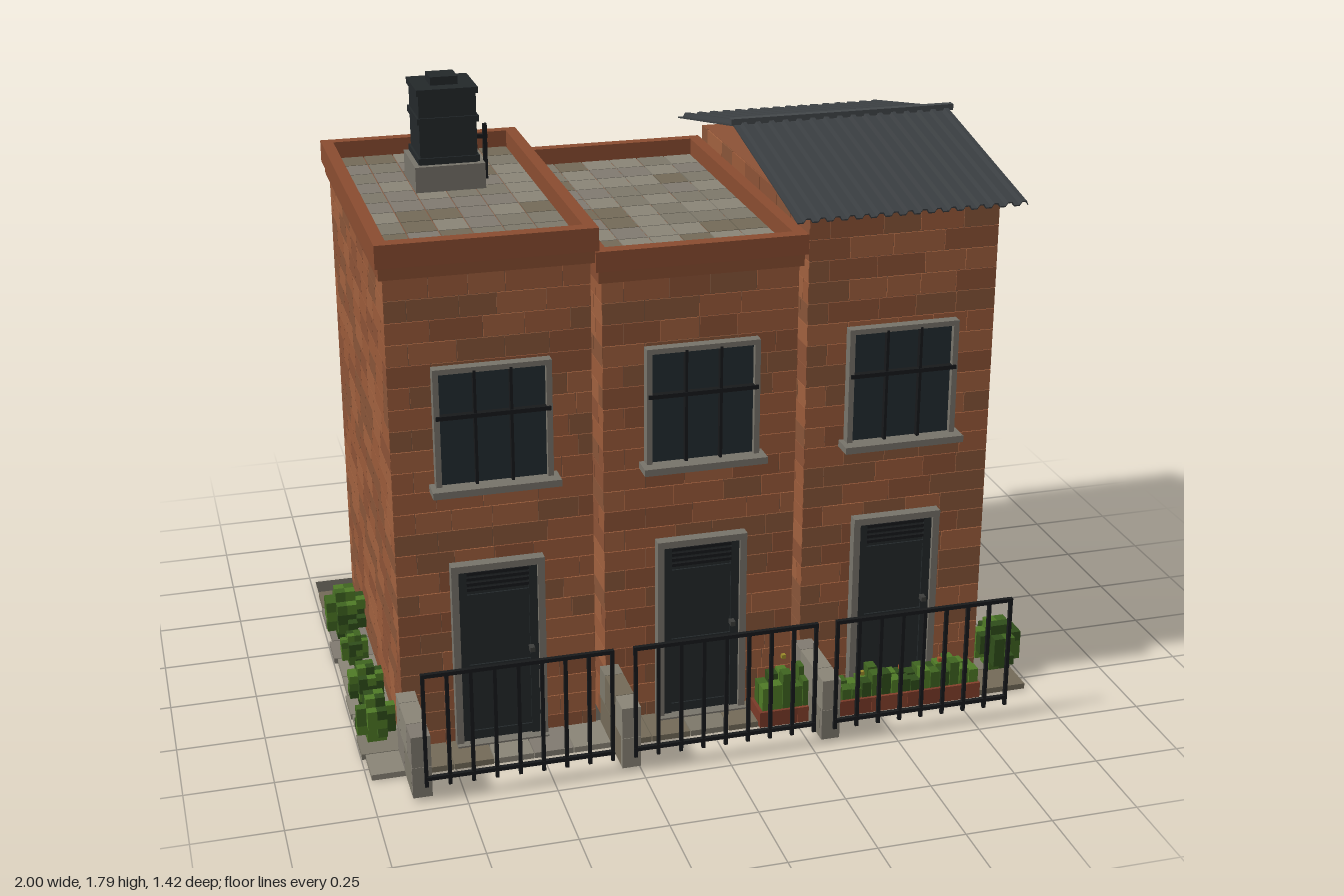
import * as THREE from 'three';
import { mergeGeometries } from 'three/addons/utils/BufferGeometryUtils.js';

const BRICK = [0x9a5a3a, 0x8c5236, 0xa0603e, 0x885538];
const STONE = [0x7d786a, 0x8a8577, 0x736a58, 0x807a70];
const LEAF = [0x3f6420, 0x4f7a26, 0x2f4d1a];
const IRON = 0x17191b, DOOR = 0x23282a, GLASS = 0x222c30, TRIM = 0x77736a;
const FRONT = 0.445, BACK = -0.6, WIDTH = 0.56, DEPTH = FRONT - BACK, MID = (FRONT + BACK) / 2;

let seed = 7;
const rand = () => (seed = (seed * 16807) % 2147483647) / 2147483647;
const pick = (list) => list[Math.floor(rand() * list.length)];

// Box given by its minimum and maximum on each axis
function box(x0, x1, y0, y1, z0, z1) {
  return new THREE.BoxGeometry(x1 - x0, y1 - y0, z1 - z0)
    .translate((x0 + x1) / 2, (y0 + y1) / 2, (z0 + z1) / 2);
}

// Collects pieces and builds one mesh per colour
function part(name, fill) {
  const byColor = new Map();
  fill((color, ...b) => {
    if (!byColor.has(color)) byColor.set(color, []);
    byColor.get(color).push(b.length === 1 ? b[0] : box(...b));
  });
  const group = new THREE.Group();
  group.name = name;
  for (const [color, geos] of byColor) {
    const mesh = new THREE.Mesh(mergeGeometries(geos), new THREE.MeshStandardMaterial({ color }));
    mesh.name = name + 'Piece';
    group.add(mesh);
  }
  return group;
}

// Brick body: a mortar core faced with bonded courses on four sides
function brickBody(cx, top) {
  return part('brickWalls', (add) => {
    const e = 0.004, hw = WIDTH / 2;
    add(0x6e5240, cx - hw + e, cx + hw - e, 0.003, top - 0.002, BACK + e, FRONT - e);
    add(BRICK[1], cx - hw + e, cx + hw - e, top - 0.004, top, BACK + e, FRONT - e);
    const rows = Math.round(top / 0.063), h = top / rows, g = 0.001;
    for (const side of [0, 1, 2, 3]) {
      const len = side < 2 ? WIDTH : DEPTH;
      for (let r = 0; r < rows; r++) {
        let u = 0, next = r % 2 ? 0.06 : 0.12;
        while (u < len - 0.001) {
          if (len - next < 0.04) next = len;
          const a = u + g, b = next - g, y0 = Math.max(r * h + g, 0.004), y1 = (r + 1) * h - g;
          const c = pick(BRICK);
          if (side === 0) add(c, cx - hw + a, cx - hw + b, y0, y1, FRONT - e, FRONT);
          if (side === 1) add(c, cx - hw + a, cx - hw + b, y0, y1, BACK, BACK + e);
          if (side === 2) add(c, cx - hw, cx - hw + e, y0, y1, BACK + a, BACK + b);
          if (side === 3) add(c, cx + hw - e, cx + hw, y0, y1, BACK + a, BACK + b);
          u = next;
          next += 0.1 + 0.06 * rand();
        }
      }
    }
  });
}

// Stepped parapet ring around a tiled flat roof
function parapet(cx, base, top) {
  return part('parapetRoof', (add) => {
    const step = base + 0.035, floor = top - 0.05;
    const ring = (out, y0, y1, color) => {
      const x0 = cx - WIDTH / 2 - out, x1 = cx + WIDTH / 2 + out, z0 = BACK - out, z1 = FRONT + out, t = 0.035;
      add(color, x0, x1, y0, y1, z1 - t - 0.005, z1);
      add(color, x0, x1, y0, y1, z0, z0 + t);
      add(color, x0, x0 + t, y0, y1, z0 + t, z1 - t);
      add(color, x1 - t, x1, y0, y1, z0 + t, z1 - t);
    };
    ring(0.011, base, step, 0x874d31);
    ring(0.02, step, top, 0x8a4c30);
    add(0x87553c, cx - 0.275, cx + 0.275, base, floor - 0.004, BACK + 0.01, FRONT - 0.01);
    const nx = 6, nz = 10, w = 0.53 / nx, d = 1.01 / nz;
    for (let i = 0; i < nx; i++) for (let j = 0; j < nz; j++) {
      const x = cx - 0.265 + i * w, z = -0.59 + j * d;
      add(pick(STONE), x + 0.002, x + w - 0.002, floor - 0.004, floor, z + 0.002, z + d - 0.002);
    }
  });
}

function doorway(cx) {
  return part('frontDoor', (add) => {
    for (const s of [-1, 1]) add(TRIM, cx + s * 0.122 - 0.01, cx + s * 0.122 + 0.01, 0.01, 0.58, FRONT, 0.475);
    add(TRIM, cx - 0.132, cx + 0.132, 0.562, 0.582, FRONT, 0.478);
    add(TRIM, cx - 0.132, cx + 0.132, 0.004, 0.025, FRONT, 0.49);
    add(DOOR, cx - 0.113, cx + 0.113, 0.02, 0.565, FRONT, 0.458);
    // Raised stiles, louvres and knob
    for (const s of [-1, 1]) add(DOOR, cx + s * 0.1 - 0.012, cx + s * 0.1 + 0.012, 0.025, 0.56, 0.458, 0.464);
    for (const y of [0.03, 0.24, 0.46]) add(DOOR, cx - 0.088, cx + 0.088, y, y + 0.025, 0.458, 0.463);
    for (let i = 0; i < 4; i++) add(IRON, cx - 0.088, cx + 0.088, 0.497 + i * 0.016, 0.506 + i * 0.016, 0.458, 0.466);
    add(0x3c3d3b, cx + 0.083, cx + 0.097, 0.295, 0.309, 0.464, 0.487);
  });
}

function sashWindow(cx) {
  return part('window', (add) => {
    add(GLASS, cx - 0.155, cx + 0.155, 0.825, 1.155, FRONT, 0.46);
    for (const s of [-1, 1]) add(TRIM, cx + s * 0.155 - 0.008, cx + s * 0.155 + 0.008, 0.82, 1.163, FRONT, 0.476);
    add(TRIM, cx - 0.163, cx + 0.163, 1.15, 1.165, FRONT, 0.476);
    add(TRIM, cx - 0.178, cx + 0.178, 0.805, 0.825, FRONT, 0.51);
    // Glazing bars
    for (const x of [-0.05, 0.05]) add(IRON, cx + x - 0.004, cx + x + 0.004, 0.825, 1.155, 0.46, 0.477);
    add(IRON, cx - 0.158, cx + 0.158, 1.02, 1.032, 0.46, 0.48);
  });
}

function railing(cx) {
  return part('railing', (add) => {
    for (let i = 0; i < 9; i++) {
      const x = cx - 0.257 + i * 0.0655;
      add(IRON, x - 0.005, x + 0.005, 0.045, 0.385, 0.701, 0.711);
    }
    for (const y of [0.065, 0.38]) add(IRON, cx - 0.262, cx + 0.272, y, y + 0.011, 0.7, 0.712);
  });
}

// Low block wall running forward from the house
function gardenWall(x) {
  return part('gardenWall', (add) => {
    for (let r = 0; r < 2; r++) for (let z = 0.447, i = 0; z < 0.7; i++) {
      const z1 = Math.min(0.705, z + (i === 0 && r ? 0.06 : 0.12));
      add(pick(STONE), x - 0.027, x + 0.027, 0.012 + r * 0.094, 0.105 + r * 0.095, z, z1 - 0.002);
      z = z1;
    }
  });
}

function waterTank() {
  return part('waterTank', (add) => {
    const cx = -0.583, cz = -0.253;
    const slab = (c, r, y0, y1) => add(c, cx - r, cx + r, y0, y1, cz - r, cz + r);
    slab(TRIM, 0.102, 1.47, 1.545);
    slab(DOOR, 0.083, 1.545, 1.765);
    for (const y of [1.548, 1.665, 1.748]) slab(DOOR, 0.089, y, y + 0.018);
    slab(DOOR, 0.04, 1.765, 1.79);
    // Outlet pipe
    add(IRON, -0.5, -0.455, 1.592, 1.604, cz - 0.006, cz + 0.006);
    add(IRON, -0.468, -0.456, 1.47, 1.635, cz - 0.006, cz + 0.006);
  });
}

// Two corrugated sheets meeting under a ridge cap
function metalRoof() {
  const group = new THREE.Group();
  group.name = 'corrugatedRoof';
  const x0 = 0.24, x1 = 0.912, ribs = 16, p = (x1 - x0) / ribs;
  const wave = [];
  for (let i = 0; i < ribs; i++) {
    const x = x0 + i * p;
    wave.push([x, 0], [x + p * 0.4, 0], [x + p * 0.55, 0.011], [x + p * 0.85, 0.011]);
  }
  wave.push([x1, 0]);
  const outline = [...wave, ...wave.map(([x, y]) => [x, y - 0.004]).reverse()];
  const shape = new THREE.Shape(outline.map(([x, y]) => new THREE.Vector2(x, y)));
  const material = new THREE.MeshStandardMaterial({ color: 0x3a3e41, side: THREE.DoubleSide });
  const ridgeZ = -0.075, run = 0.591, drop = 0.122, len = Math.hypot(run, drop);
  for (const s of [-1, 1]) {
    const geo = new THREE.ExtrudeGeometry(shape, { depth: len, bevelEnabled: false });
    if (s < 0) geo.translate(0, 0, -len);
    geo.rotateX(s * Math.atan2(drop, run)).translate(0, 1.626, ridgeZ);
    const sheet = new THREE.Mesh(geo, material);
    sheet.name = s > 0 ? 'frontSheet' : 'backSheet';
    group.add(sheet);
  }
  group.add(part('ridgeCap', (add) => add(0x43474a, 0.23, 0.922, 1.628, 1.646, ridgeZ - 0.011, ridgeZ + 0.011)));
  return group;
}

// Blocky shrub of stacked cubes
function bush(x, z, w, h) {
  return part('bush', (add) => {
    const n = 4, c = w / n, levels = Math.round(h / c);
    for (let k = 0; k < levels; k++) for (let i = 0; i < n; i++) for (let j = 0; j < n; j++) {
      const edge = (i % 3 === 0) + (j % 3 === 0), end = k === 0 || k === levels - 1;
      if (edge === 2 || (edge && end) || (edge && rand() < 0.2)) continue;
      const px = x - w / 2 + i * c, pz = z - w / 2 + j * c, py = 0.018 + k * (h / levels);
      add(pick(LEAF), px, px + c, py, py + h / levels, pz, pz + c);
    }
  });
}

function planter() {
  return part('planter', (add) => {
    for (let i = 0; i < 6; i++) add(i % 2 ? 0x85402c : 0x7a3a28, 0.135 + i * 0.114, 0.248 + i * 0.114, 0.01, 0.058, 0.497, 0.59);
    for (let i = 0; i < 22; i++) {
      const x = 0.145 + i * 0.0305, h = i < 5 ? 0.08 + 0.015 * (i % 3) * 2 : 0.03 + 0.06 * rand();
      for (const z of [0.505, 0.545]) add(pick(LEAF), x, x + 0.028, 0.058, 0.058 + h * (0.7 + 0.3 * rand()), z, z + 0.036);
      if (i % 4 === 2) add(pick([0xa0522a, 0x9a8a2a]), x + 0.008, x + 0.02, 0.058 + h, 0.07 + h, 0.53, 0.542);
    }
  });
}

function paving() {
  return part('paving', (add) => {
    add(0x4d4a42, -0.985, 0.975, 0, 0.003, -0.71, 0.56);
    for (let i = 0; i < 10; i++) {
      const z = BACK + i * 0.117;
      add(pick(STONE), -1 + 0.012 * rand(), -0.87, 0.003, 0.02, z, z + 0.114);
      add(pick(STONE), 0.85, 0.97 + 0.012 * rand(), 0.003, 0.02, z, z + 0.114);
    }
    for (let i = 0; i < 15; i++) {
      const x = -0.87 + i * 0.1147;
      add(pick(STONE), x, x + 0.112, 0.003, 0.02, 0.44, 0.57);
    }
  });
}

export function createModel() {
  const model = new THREE.Group();
  model.name = 'terracedHouses';
  // Three houses sharing one facade layout
  [[-0.5975, 1.42], [-0.0075, 1.36], [0.58, 1.49]].forEach(([cx, top], i) => {
    const house = new THREE.Group();
    house.name = ['rightHouse', 'middleHouse', 'leftHouse'][i];
    house.add(brickBody(cx, top), doorway(cx), sashWindow(cx), railing(cx - 0.002), gardenWall(cx - 0.27));
    if (i < 2) house.add(parapet(cx, top, top + (i ? 0.092 : 0.1)));
    model.add(house);
  });
  model.add(waterTank(), metalRoof(), planter(), paving());
  for (const [x, z, w, h] of [
    [-0.94, -0.29, 0.12, 0.16], [-0.94, -0.1, 0.08, 0.1], [-0.94, 0.14, 0.1, 0.12], [-0.945, 0.36, 0.11, 0.14],
    [0.93, -0.3, 0.1, 0.12], [0.925, 0.15, 0.11, 0.11], [0.935, 0.43, 0.13, 0.15],
  ]) model.add(bush(x, z, w, h));
  return model;
}
